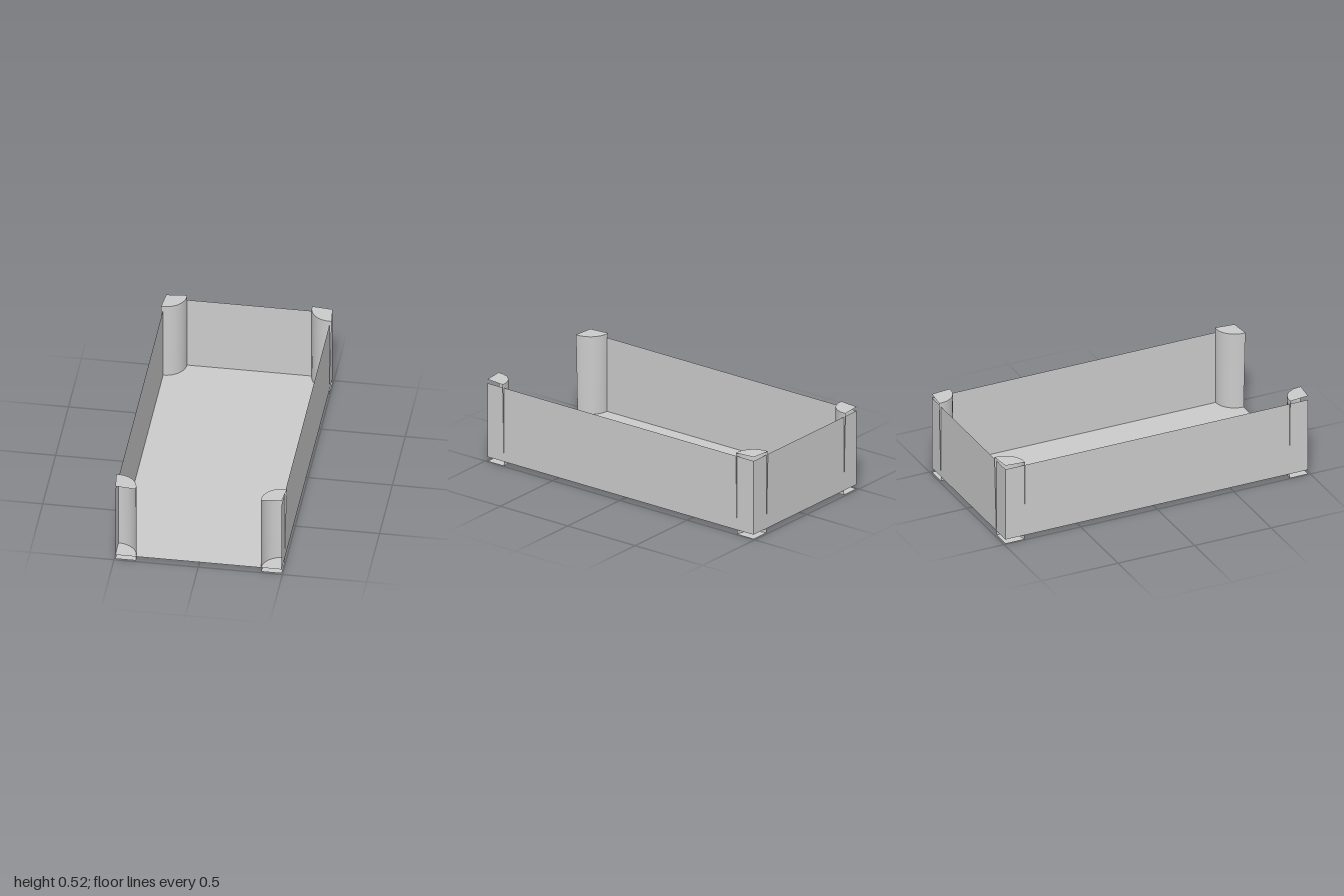
import * as THREE from 'three';

const X = 0.494, Z = 0.988;        // half width and half length of the tray
const Y0 = 0.028, Y1 = 0.495;      // bottom and top of the walls
const H = 0.52, R = 0.123;         // corner post height and radius
const FLARE = 0.1;                 // extra angle of each post end at the top
const SEGMENTS = 24;

const material = new THREE.MeshStandardMaterial({ color: 0xcccccc, side: THREE.DoubleSide });

function add(parent, name, geometry) {
  const mesh = new THREE.Mesh(geometry, material);
  mesh.name = name;
  parent.add(mesh);
  return mesh;
}

// Corner post: open quarter-round shell that fans out slightly towards the top,
// closed by a sector above and below. Built bulging towards +z.
function cornerPost(name) {
  const post = new THREE.Group();
  post.name = name;
  const half = Math.PI / 4;

  const shell = new THREE.CylinderGeometry(R, R, H, SEGMENTS, 1, true, -half, 2 * half);
  const p = shell.attributes.position;
  for (let i = 0; i < p.count; i++) {
    const t = p.getY(i) / H + 0.5;
    const a = Math.atan2(p.getX(i), p.getZ(i)) * (1 + t * FLARE / half);
    p.setXYZ(i, R * Math.sin(a), t * H, R * Math.cos(a));
  }
  shell.computeVertexNormals();
  add(post, 'postShell', shell);

  const wide = half + FLARE;
  const top = new THREE.CircleGeometry(R, SEGMENTS, -Math.PI / 2 - wide, 2 * wide);
  add(post, 'postTop', top.rotateX(-Math.PI / 2).translate(0, H, 0));
  const bottom = new THREE.CircleGeometry(R, SEGMENTS, Math.PI / 2 - half, 2 * half);
  add(post, 'postBottom', bottom.rotateX(Math.PI / 2));
  return post;
}

export function createModel() {
  const model = new THREE.Group();
  model.name = 'openTray';
  const wallHeight = Y1 - Y0, midY = (Y0 + Y1) / 2;

  // Floor and three thin walls; the front is open
  add(model, 'floor', new THREE.PlaneGeometry(2 * X, 2 * Z).rotateX(-Math.PI / 2)).position.y = Y0;
  add(model, 'backWall', new THREE.PlaneGeometry(2 * X, wallHeight)).position.set(0, midY, -Z);
  for (const s of [-1, 1]) {
    const wall = add(model, s > 0 ? 'leftWall' : 'rightWall',
      new THREE.PlaneGeometry(2 * Z, wallHeight).rotateY(s * Math.PI / 2));
    wall.position.set(s * X, midY, 0);
  }

  // Four corner posts bulging towards the inside
  for (const sx of [-1, 1]) {
    for (const sz of [-1, 1]) {
      const post = cornerPost((sz > 0 ? 'front' : 'back') + (sx > 0 ? 'Left' : 'Right') + 'Post');
      post.position.set(sx * X, 0, sz * Z);
      post.rotation.y = Math.atan2(-sx, -sz);
      model.add(post);
    }
  }
  return model;
}
